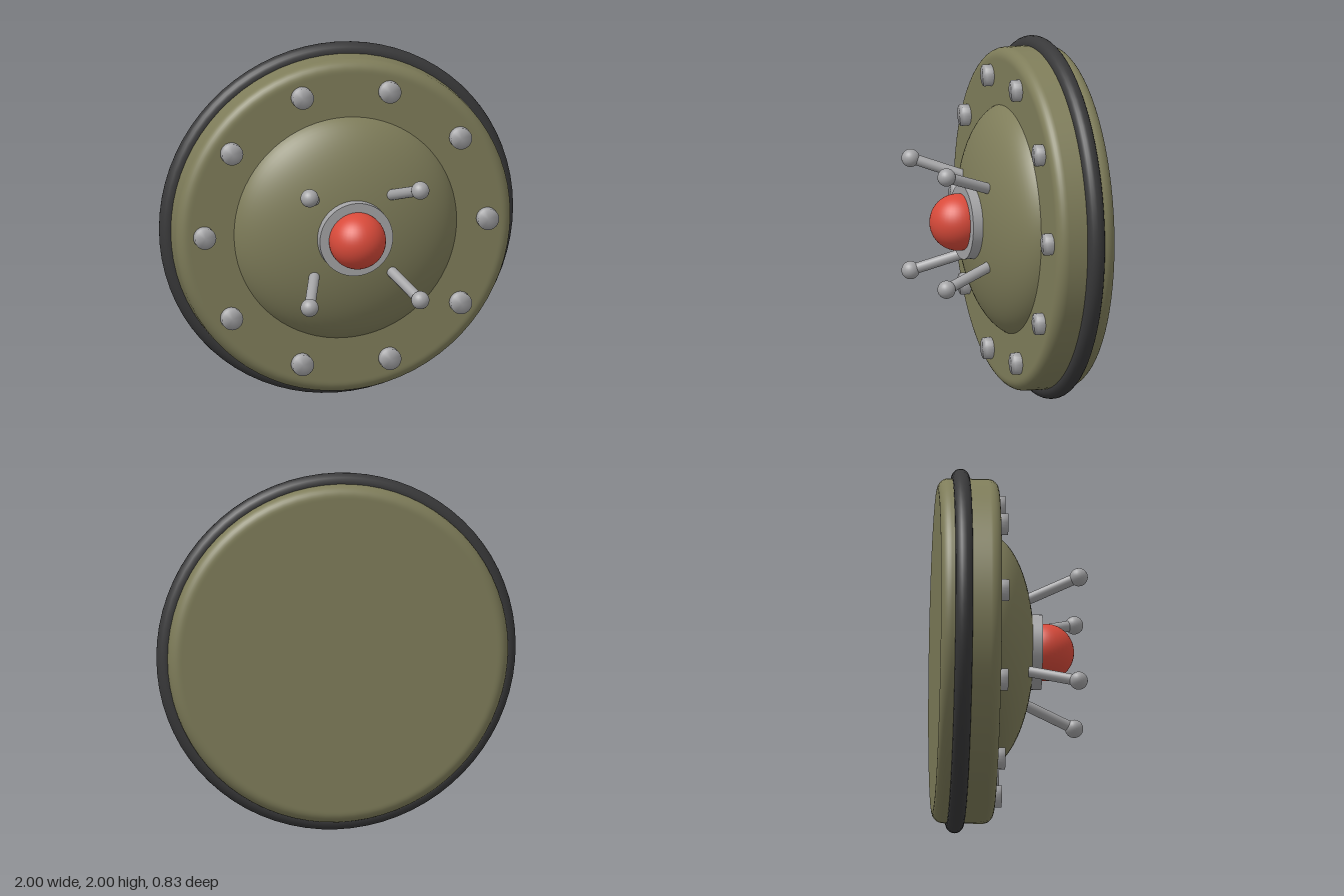
import * as THREE from 'three';
import { mergeVertices } from 'three/addons/utils/BufferGeometryUtils.js';

const mat = (name, color) => {
  const m = new THREE.MeshStandardMaterial({ color });
  m.name = name;
  return m;
};

export function createModel() {
  const olive = mat('olive', 0x7f7d5a);
  const rubber = mat('dark rubber', 0x39393a);
  const metal = mat('grey metal', 0xa3a3a5);
  const red = mat('red', 0xd84a3a);

  const model = new THREE.Group();
  model.name = 'roundShield';
  // Everything is built around the z axis, then lifted to stand on y = 0
  const body = new THREE.Group();
  body.name = 'body';
  body.position.y = 1;
  model.add(body);

  const add = (name, geometry, material, x = 0, y = 0, z = 0) => {
    const mesh = new THREE.Mesh(geometry, material);
    mesh.name = name;
    mesh.position.set(x, y, z);
    body.add(mesh);
    return mesh;
  };
  // Lathe turned so that its axis points to the front
  const lathe = (points) => new THREE.LatheGeometry(points, 72).rotateX(Math.PI / 2);

  // Thick disc with rounded rims
  const R = 0.946, back = -0.415, front = -0.08, c = 0.06;
  const disc = [new THREE.Vector2(0, back), new THREE.Vector2(R - c - 0.01, back)];
  for (const [z, start] of [[back + c, -Math.PI / 2], [front - c, 0]]) {
    for (let i = 0; i <= 8; i++) {
      const a = start + (i / 8) * Math.PI / 2;
      disc.push(new THREE.Vector2(R - c + Math.cos(a) * c, z + Math.sin(a) * c));
    }
  }
  disc.push(new THREE.Vector2(R - c - 0.01, front), new THREE.Vector2(0, front));
  add('disc', lathe(disc), olive);

  // Rubber band around the rim
  add('rimBand', new THREE.TorusGeometry(0.952, 0.048, 20, 72), rubber, 0, 0, -0.29);

  // Shallow central dome, a cap of a flattened sphere
  const dome = [];
  for (let i = 0; i <= 20; i++) {
    const a = 0.2 + (i / 20) * (Math.PI / 2 - 0.2);
    dome.push(new THREE.Vector2(0.646 * Math.cos(a), -0.14 + 0.27 * Math.sin(a)));
  }
  add('dome', lathe(dome), olive);

  // Collar and eye ball
  add('collar', new THREE.CylinderGeometry(0.207, 0.207, 0.09, 48).rotateX(Math.PI / 2), metal, 0, 0, 0.127);
  add('eye', new THREE.SphereGeometry(0.157, 40, 28), red, 0, 0, 0.193);

  // Rivets: short studs with softened shading across the edge
  let stud = new THREE.CylinderGeometry(0.06, 0.06, 0.06, 24).rotateX(Math.PI / 2);
  stud.deleteAttribute('normal');
  stud.deleteAttribute('uv');
  stud = mergeVertices(stud);
  stud.computeVertexNormals();
  for (let i = 0; i < 10; i++) {
    const a = (i / 10) * Math.PI * 2;
    add('rivet', stud, metal, 0.8 * Math.cos(a), 0.8 * Math.sin(a), -0.068);
  }

  // Four splayed prongs with ball tips
  const up = new THREE.Vector3(0, 1, 0);
  for (const sx of [-1, 1]) {
    for (const sy of [-1, 1]) {
      const base = new THREE.Vector3(sx * 0.215, sy * 0.215, 0.08);
      const tip = new THREE.Vector3(sx * 0.313, sy * 0.313, 0.363);
      const dir = tip.clone().sub(base);
      const mid = base.clone().add(tip).multiplyScalar(0.5);
      const rod = add('prong', new THREE.CylinderGeometry(0.03, 0.03, dir.length(), 20), metal, mid.x, mid.y, mid.z);
      rod.quaternion.setFromUnitVectors(up, dir.normalize());
      add('prongTip', new THREE.SphereGeometry(0.05, 24, 16), metal, tip.x, tip.y, tip.z);
    }
  }
  return model;
}
